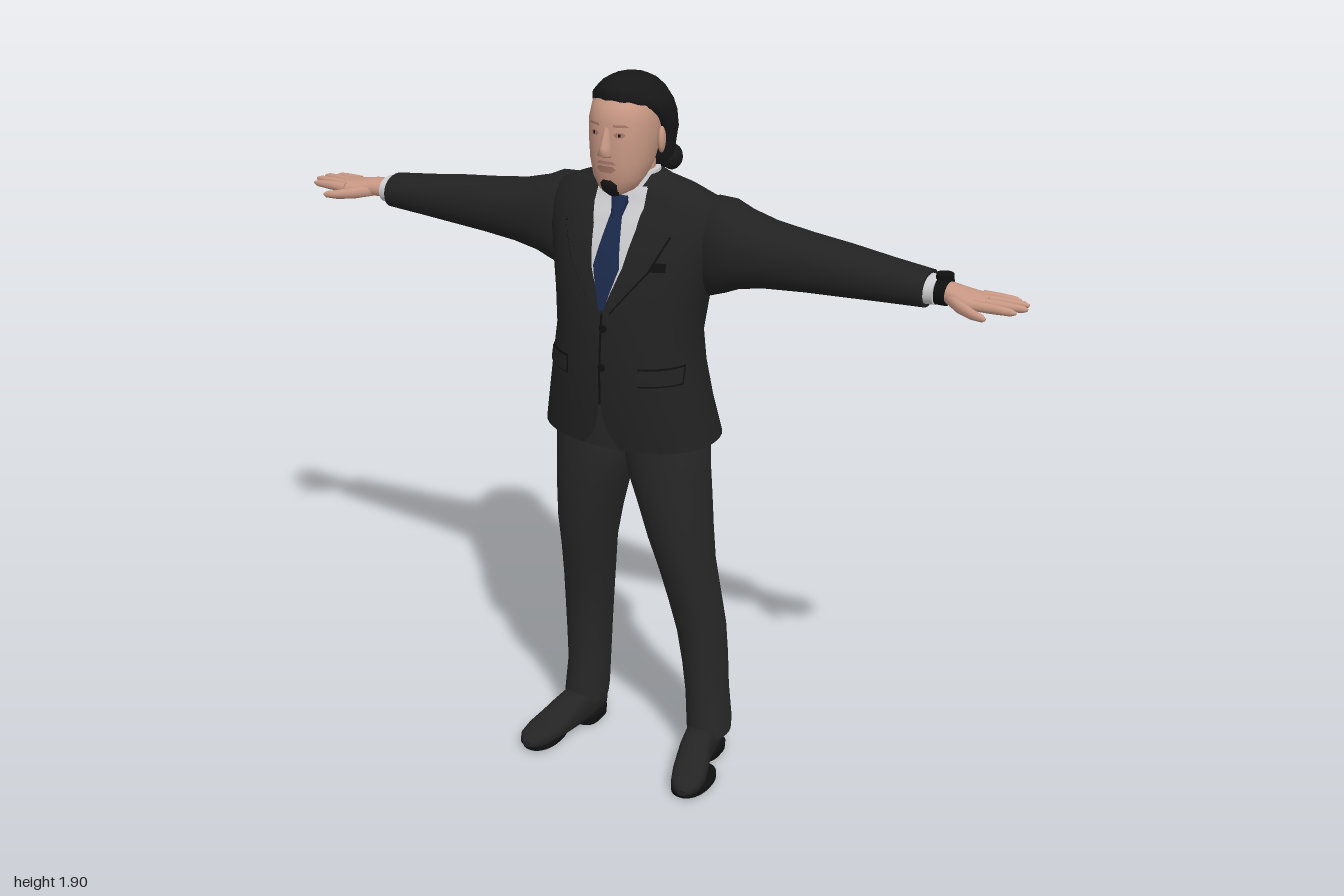
import * as THREE from 'three';

const mat = (name, color) => Object.assign(new THREE.MeshStandardMaterial({ color }), { name });

// Superellipse ring coordinate
const pw = (v, n) => Math.sign(v) * Math.abs(v) ** (2 / n);

// Order of coordinates (u, v, t) for a loft running along each axis
const PLACE = {
  y: (u, v, t) => [u, t, v],
  x: (u, v, t) => [t, v, u],
  z: (u, v, t) => [u, v, t],
};

// Solid through sections [t, centre u, half width u, low v, high v]
function loft(axis, sections, { n = 2.2, seg = 32, mirror = 1, ripple = null } = {}) {
  const pos = [], idx = [], place = PLACE[axis];
  const ring = ([t, cu, a, lo, hi]) => {
    const start = pos.length / 3;
    for (let i = 0; i < seg; i++) {
      const th = (i / seg) * Math.PI * 2, k = ripple ? ripple(th, t) : 1;
      const p = place(cu + a * k * pw(Math.cos(th), n), (lo + hi) / 2 + ((hi - lo) / 2) * k * pw(Math.sin(th), n), t);
      pos.push(p[0] * mirror, p[1], p[2]);
    }
    return start;
  };
  const starts = sections.map(ring);
  for (let s = 0; s + 1 < starts.length; s++)
    for (let i = 0; i < seg; i++) {
      const j = (i + 1) % seg, a = starts[s], b = starts[s + 1];
      idx.push(a + i, a + j, b + j, a + i, b + j, b + i);
    }
  // End caps with their own vertices, so the rims stay sharp
  [sections[0], sections[sections.length - 1]].forEach((sec, e) => {
    const r = ring(sec), c = pos.length / 3;
    const p = place(sec[1], (sec[3] + sec[4]) / 2, sec[0]);
    pos.push(p[0] * mirror, p[1], p[2]);
    for (let i = 0; i < seg; i++) {
      const j = (i + 1) % seg;
      if (e) idx.push(r + i, r + j, c); else idx.push(r + j, r + i, c);
    }
  });
  // Turn the faces outward whichever way the sections run
  let vol = 0;
  const V = (i) => new THREE.Vector3().fromArray(pos, i * 3);
  const o = V(0);
  for (let i = 0; i < idx.length; i += 3)
    vol += V(idx[i]).sub(o).dot(V(idx[i + 1]).sub(o).cross(V(idx[i + 2]).sub(o)));
  if (vol < 0) idx.reverse();
  return build(pos, idx);
}

function build(pos, idx) {
  const g = new THREE.BufferGeometry();
  g.setAttribute('position', new THREE.Float32BufferAttribute(pos, 3));
  g.setIndex(idx);
  g.computeVertexNormals();
  return g;
}

// Depth of a y-loft's front (side 1) or back (side -1) at x, y
function surfaceZ(sections, x, y, side, n = 2.2) {
  let i = 0;
  while (i < sections.length - 2 && y > sections[i + 1][0]) i++;
  const A = sections[i], B = sections[i + 1];
  const f = THREE.MathUtils.clamp((y - A[0]) / (B[0] - A[0]), 0, 1);
  const [, , a, lo, hi] = A.map((v, k) => v + (B[k] - v) * f);
  const q = Math.min(Math.abs(x / a), 0.999);
  return (lo + hi) / 2 + side * ((hi - lo) / 2) * (1 - q ** n) ** (1 / n);
}

// Thin sheet lying on a y-loft; rows run downward as [y, x0, x1]
function patch(sections, rows, offset, side = 1) {
  const pos = [], idx = [], nx = 8, ny = 6;
  const lines = [];
  for (let r = 0; r + 1 < rows.length; r++)
    for (let s = r ? 1 : 0; s <= ny; s++) lines.push(rows[r].map((v, k) => v + ((rows[r + 1][k] - v) * s) / ny));
  lines.forEach(([y, x0, x1], r) => {
    for (let i = 0; i <= nx; i++) {
      const x = x0 + ((x1 - x0) * i) / nx;
      pos.push(x, y, surfaceZ(sections, x, y, side) + side * offset);
      if (r && i) {
        const d = r * (nx + 1) + i, c = d - 1, b = d - nx - 1, a = b - 1;
        idx.push(a, c, b, b, c, d);
      }
    }
  });
  if (side < 0) idx.reverse();
  return build(pos, idx);
}
const flip = (rows, s) => (s > 0 ? rows : rows.map(([y, a, b]) => [y, -b, -a]));

export function createModel() {
  const jacket = mat('jacket cloth', 0x222222), trouser = mat('trouser cloth', 0x282828);
  const shirt = mat('shirt white', 0xcdcdd0), tieBlue = mat('tie blue', 0x1b2a4c);
  const skin = mat('skin', 0xc89884), lip = mat('darker skin', 0xa8796a);
  const hairBlack = mat('hair', 0x171717), leather = mat('shoe leather', 0x242424);
  const black = mat('black trim', 0x101010);

  const root = new THREE.Group();
  const add = (name, geo, m, parent = root) => {
    const mesh = new THREE.Mesh(geo, m);
    mesh.name = name;
    parent.add(mesh);
    return mesh;
  };

  // Jacket body
  const torso = [
    [0.98, 0, 0.235, -0.17, 0.16], [1.08, 0, 0.215, -0.15, 0.168], [1.18, 0, 0.198, -0.136, 0.17],
    [1.26, 0, 0.188, -0.136, 0.165], [1.35, 0, 0.198, -0.15, 0.155], [1.43, 0, 0.215, -0.158, 0.135],
    [1.5, 0, 0.23, -0.158, 0.11], [1.56, 0, 0.235, -0.147, 0.08], [1.6, 0, 0.215, -0.125, 0.055],
    [1.625, 0, 0.16, -0.105, 0.045], [1.645, 0, 0.1, -0.08, 0.035], [1.66, 0, 0.075, -0.066, 0.03],
  ];
  add('jacket', loft('y', torso, { seg: 48 }), jacket);
  const onTorso = (name, rows, off, m, side) => add(name, patch(torso, rows, off, side), m);

  // Shirt, tie and front opening
  onTorso('shirtFront', [[1.635, -0.06, 0.06], [1.56, -0.062, 0.062], [1.45, -0.045, 0.045], [1.35, -0.004, 0.004]], 0.004, shirt);
  add('shirtCollar', loft('y', [[1.58, 0, 0.07, -0.06, 0.062], [1.63, 0, 0.068, -0.064, 0.052], [1.667, 0, 0.064, -0.064, 0.042]]), shirt);
  onTorso('tie', [[1.58, -0.014, 0.014], [1.45, -0.036, 0.036], [1.345, -0.006, 0.006]], 0.009, tieBlue);
  add('tieKnot', loft('y', [[1.562, 0, 0.014, 0.06, 0.094], [1.61, 0, 0.024, 0.035, 0.076]], { n: 3, seg: 16 }), tieBlue);
  onTorso('frontSeam', [[1.35, -0.003, 0.003], [1.1, -0.003, 0.003]], 0.003, black);
  onTorso('frontCutaway', [[1.1, -0.002, 0.002], [1.03, -0.016, 0.016], [0.981, -0.05, 0.05]], 0.003, trouser);
  onTorso('backSeam', [[1.58, -0.002, 0.002], [0.985, -0.002, 0.002]], 0.002, black, -1);
  for (const y of [1.2, 1.3]) {
    const button = add('button', new THREE.CylinderGeometry(0.009, 0.009, 0.008, 16).rotateX(Math.PI / 2), black);
    button.position.set(0.006, y, surfaceZ(torso, 0, y, 1) + 0.003);
  }
  onTorso('breastPocket', [[1.472, 0.075, 0.145], [1.45, 0.075, 0.145]], 0.005, black);

  for (const s of [1, -1]) {
    const side = s > 0 ? 'left' : 'right';
    const strip = (name, rows, off, m, face) => onTorso(side + name, flip(rows, s), off, m, face);
    strip('CollarWing', [[1.635, 0.012, 0.066], [1.59, 0.028, 0.068], [1.545, 0.048, 0.056]], 0.013, shirt);
    strip('UpperLapel', [[1.645, 0.062, 0.085], [1.6, 0.064, 0.105], [1.545, 0.06, 0.11]], 0.009, jacket);
    strip('Lapel', [[1.545, 0.06, 0.1], [1.53, 0.057, 0.142], [1.45, 0.042, 0.105], [1.34, 0.002, 0.02]], 0.008, jacket);
    strip('LapelEdge', [[1.532, 0.14, 0.147], [1.45, 0.103, 0.11], [1.34, 0.018, 0.024]], 0.004, black);
    strip('PocketFlap', [[1.205, 0.1, 0.186], [1.165, 0.1, 0.187]], 0.008, jacket);
    strip('FlapShadow', [[1.209, 0.098, 0.187], [1.16, 0.098, 0.188]], 0.004, black);
    strip('BackVent', [[1.12, 0.105, 0.107], [0.981, 0.1, 0.125]], 0.003, black, -1);

    // Sleeve and cuff
    add(side + 'Sleeve', loft('x', [
      [0.15, -0.055, 0.07, 1.38, 1.59], [0.2, -0.055, 0.09, 1.355, 1.607], [0.24, -0.055, 0.095, 1.37, 1.604],
      [0.28, -0.055, 0.092, 1.388, 1.585], [0.35, -0.055, 0.084, 1.402, 1.566], [0.45, -0.057, 0.075, 1.41, 1.552],
      [0.55, -0.06, 0.069, 1.415, 1.54], [0.65, -0.063, 0.062, 1.42, 1.525], [0.755, -0.065, 0.055, 1.425, 1.512],
    ], { mirror: s }), jacket);
    add(side + 'Cuff', loft('x', [[0.74, -0.064, 0.046, 1.433, 1.505], [0.778, -0.062, 0.043, 1.436, 1.503]], { mirror: s }), shirt);

    // Hand with four fingers and a thumb
    const hand = new THREE.Group();
    hand.name = side + 'Hand';
    root.add(hand);
    add('palm', loft('x', [
      [0.76, -0.06, 0.03, 1.447, 1.497], [0.81, -0.057, 0.033, 1.447, 1.495], [0.85, -0.05, 0.045, 1.446, 1.488],
      [0.89, -0.048, 0.046, 1.45, 1.482], [0.905, -0.048, 0.04, 1.455, 1.479],
    ], { mirror: s, seg: 20 }), skin, hand);
    [[-0.083, -0.095, 0.968], [-0.06, -0.075, 0.994], [-0.036, -0.047, 1.0], [-0.012, -0.014, 0.984]].forEach(([z0, z1, tip], i) => {
      add('finger' + (i + 1), loft('x', [
        [0.88, z0, 0.0115, 1.455, 1.481], [(0.88 + tip) / 2, (z0 + z1) / 2, 0.0105, 1.456, 1.479],
        [tip - 0.012, z1, 0.009, 1.458, 1.475], [tip, z1, 0.004, 1.463, 1.47],
      ], { mirror: s, seg: 10 }), skin, hand);
    });
    add('thumb', loft('x', [
      [0.81, -0.04, 0.016, 1.45, 1.482], [0.85, -0.008, 0.018, 1.445, 1.476],
      [0.89, 0.014, 0.013, 1.444, 1.468], [0.918, 0.023, 0.009, 1.446, 1.463], [0.926, 0.025, 0.003, 1.451, 1.457],
    ], { mirror: s, seg: 10 }), skin, hand);

    // Trouser leg
    add(side + 'TrouserLeg', loft('y', [
      [0.07, 0.193, 0.055, -0.15, -0.012], [0.1, 0.192, 0.056, -0.156, -0.01], [0.2, 0.184, 0.053, -0.155, -0.012],
      [0.3, 0.179, 0.056, -0.152, -0.002], [0.4, 0.172, 0.06, -0.145, 0.012], [0.5, 0.16, 0.063, -0.132, 0.036],
      [0.6, 0.148, 0.066, -0.12, 0.065], [0.7, 0.135, 0.078, -0.114, 0.09], [0.8, 0.12, 0.09, -0.115, 0.104],
      [0.88, 0.105, 0.101, -0.117, 0.112], [0.94, 0.1, 0.105, -0.118, 0.116], [1.02, 0.095, 0.1, -0.115, 0.118],
    ], { mirror: s }), trouser);

    // Shoe with sole and heel
    add(side + 'Shoe', loft('z', [
      [-0.13, 0.184, 0.026, 0.012, 0.07], [-0.115, 0.185, 0.038, 0.01, 0.1], [-0.03, 0.193, 0.045, 0.01, 0.112],
      [0.02, 0.203, 0.046, 0.01, 0.1], [0.06, 0.215, 0.049, 0.01, 0.078], [0.1, 0.226, 0.049, 0.01, 0.063],
      [0.14, 0.234, 0.041, 0.01, 0.053], [0.162, 0.238, 0.026, 0.012, 0.044], [0.17, 0.239, 0.012, 0.016, 0.034],
    ], { mirror: s, n: 2.6, seg: 24 }), leather);
    add(side + 'Sole', loft('y', [[0.006, 0.232, 0.05, 0.0, 0.166], [0.018, 0.232, 0.05, 0.0, 0.168]], { mirror: s }), black);
    add(side + 'Heel', loft('y', [[0, 0.188, 0.043, -0.132, -0.02], [0.022, 0.188, 0.044, -0.134, -0.02]], { mirror: s, n: 3 }), black);
  }

  // Watch on the left wrist
  add('watchStrap', loft('x', [[0.78, -0.06, 0.039, 1.438, 1.505], [0.806, -0.058, 0.038, 1.439, 1.504]]), black);
  add('watchCase', new THREE.CylinderGeometry(0.021, 0.021, 0.012, 20), black).position.set(0.793, 1.508, -0.06);

  // Head and neck
  const head = new THREE.Group();
  head.name = 'head';
  head.position.x = -0.012;
  root.add(head);
  const skull = [
    [1.617, 0, 0.022, 0.03, 0.085], [1.63, 0, 0.046, 0.0, 0.098], [1.66, 0, 0.064, -0.03, 0.108], [1.7, 0, 0.075, -0.06, 0.113],
    [1.75, 0, 0.082, -0.08, 0.112], [1.8, 0, 0.083, -0.09, 0.11], [1.835, 0, 0.077, -0.085, 0.1], [1.865, 0, 0.058, -0.06, 0.07], [1.882, 0, 0.02, -0.02, 0.03],
  ];
  add('neck', new THREE.CylinderGeometry(0.054, 0.057, 0.12, 24), skin, head).position.set(0.008, 1.64, -0.008);
  add('face', loft('y', skull), skin, head);
  add('nose', loft('y', [[1.718, 0, 0.013, 0.09, 0.12], [1.727, 0, 0.018, 0.09, 0.139], [1.745, 0, 0.013, 0.09, 0.133], [1.79, 0, 0.009, 0.085, 0.114]], { n: 2, seg: 14 }), skin, head);
  add('goatee', loft('y', [[1.613, 0, 0.014, 0.055, 0.083], [1.628, 0, 0.026, 0.055, 0.102], [1.648, 0, 0.026, 0.07, 0.111], [1.66, 0, 0.016, 0.08, 0.111]], { seg: 16 }), hairBlack, head);
  add('lips', patch(skull, [[1.697, -0.018, 0.018], [1.689, -0.026, 0.026], [1.68, -0.015, 0.015]], 0.003), lip, head);
  add('moustache', patch(skull, [[1.709, -0.018, 0.018], [1.701, -0.028, 0.028]], 0.002), lip, head);
  for (const s of [1, -1]) {
    const feature = (name, rows, off, m) => add(name, patch(skull, flip(rows, s), off), m, head);
    feature('eye', [[1.78, 0.026, 0.04], [1.774, 0.02, 0.047], [1.768, 0.026, 0.04]], 0.002, lip);
    feature('pupil', [[1.778, 0.031, 0.037], [1.77, 0.031, 0.037]], 0.003, black);
    feature('eyebrow', [[1.799, 0.02, 0.046], [1.793, 0.017, 0.053]], 0.002, lip);
    const ear = add('ear', new THREE.SphereGeometry(1, 14, 10).scale(0.01, 0.033, 0.019), skin, head);
    ear.position.set(s * 0.089, 1.745, -0.002);
    ear.rotation.y = s * 0.3;
  }

  // Slicked-back hair with a loose lock on the left
  add('hair', loft('y', [
    [1.642, 0, 0.045, -0.1, -0.05], [1.66, 0, 0.075, -0.115, -0.035], [1.69, 0, 0.088, -0.115, -0.025], [1.72, 0, 0.09, -0.106, -0.022],
    [1.76, 0, 0.096, -0.117, -0.008], [1.8, 0, 0.098, -0.12, 0.035], [1.83, 0, 0.094, -0.117, 0.073], [1.855, 0, 0.082, -0.104, 0.09],
    [1.877, 0, 0.063, -0.08, 0.077], [1.89, 0, 0.042, -0.055, 0.056], [1.898, 0, 0.015, -0.02, 0.025],
  ], { seg: 72, ripple: (th, t) => 1 + 0.018 * Math.sin(14 * th + 25 * t) }), hairBlack, head);
  add('hairLock', new THREE.SphereGeometry(1, 16, 12).scale(0.026, 0.032, 0.03), hairBlack, head).position.set(0.074, 1.678, -0.084);

  return root;
}
